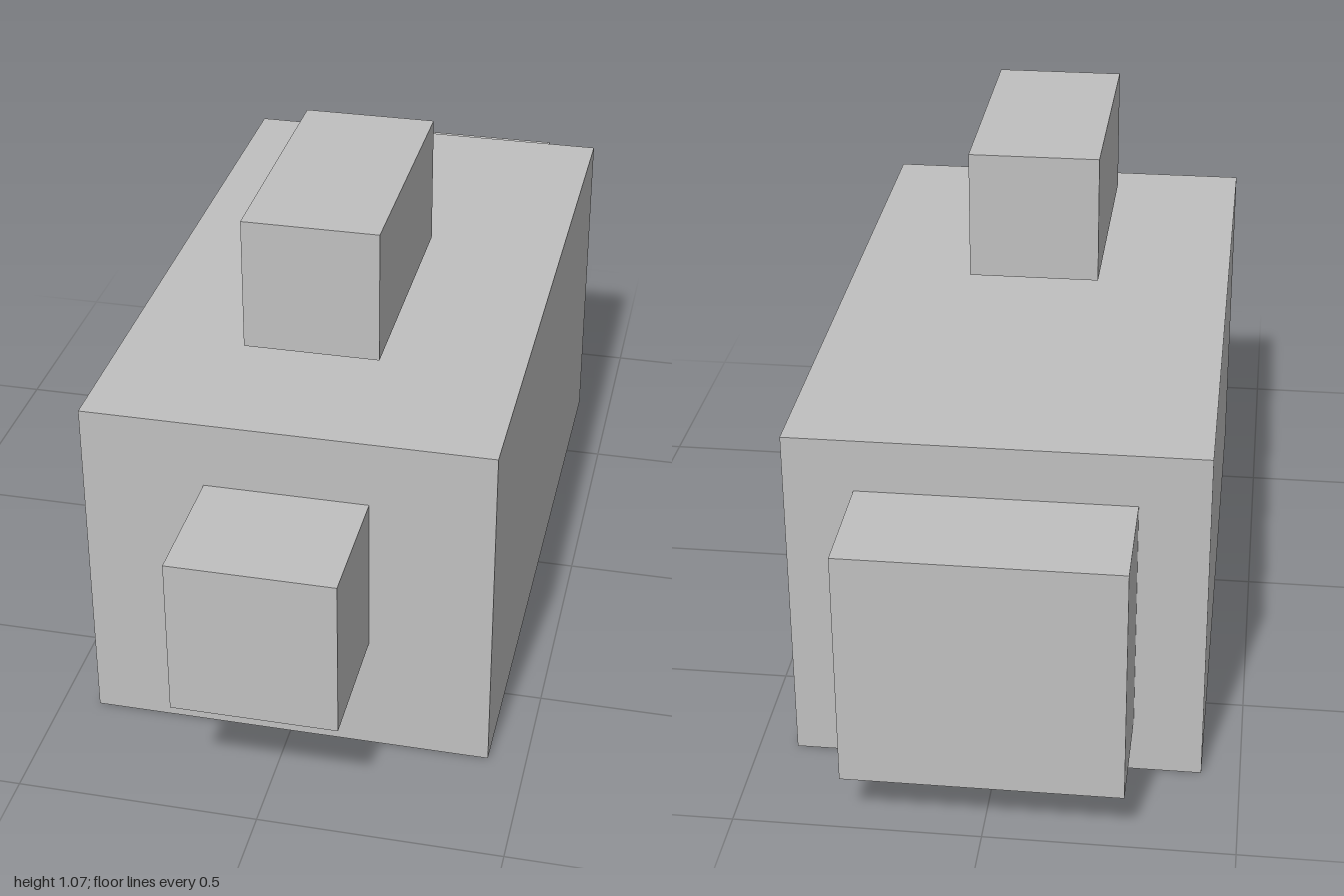
import * as THREE from 'three';

export function createModel() {
  const model = new THREE.Group();
  const grey = new THREE.MeshStandardMaterial({ color: 0xc0c0c0 });
  grey.name = 'lightGrey';

  // Box centred on x, given by its width and its y and z extents
  function addBlock(name, width, [y0, y1], [z0, z1]) {
    const mesh = new THREE.Mesh(new THREE.BoxGeometry(width, y1 - y0, z1 - z0), grey);
    mesh.name = name;
    mesh.position.set(0, (y0 + y1) / 2, (z0 + z1) / 2);
    model.add(mesh);
  }

  addBlock('body', 0.842, [0, 0.733], [-0.747, 0.718]);
  addBlock('frontBlock', 0.337, [0.255, 0.593], [0.718, 1]);
  addBlock('backBlock', 0.56, [0.117, 0.622], [-1, -0.747]);
  // Separate block floating above the body
  addBlock('topBlock', 0.281, [0.79, 1.071], [-0.069, 0.492]);

  return model;
}
